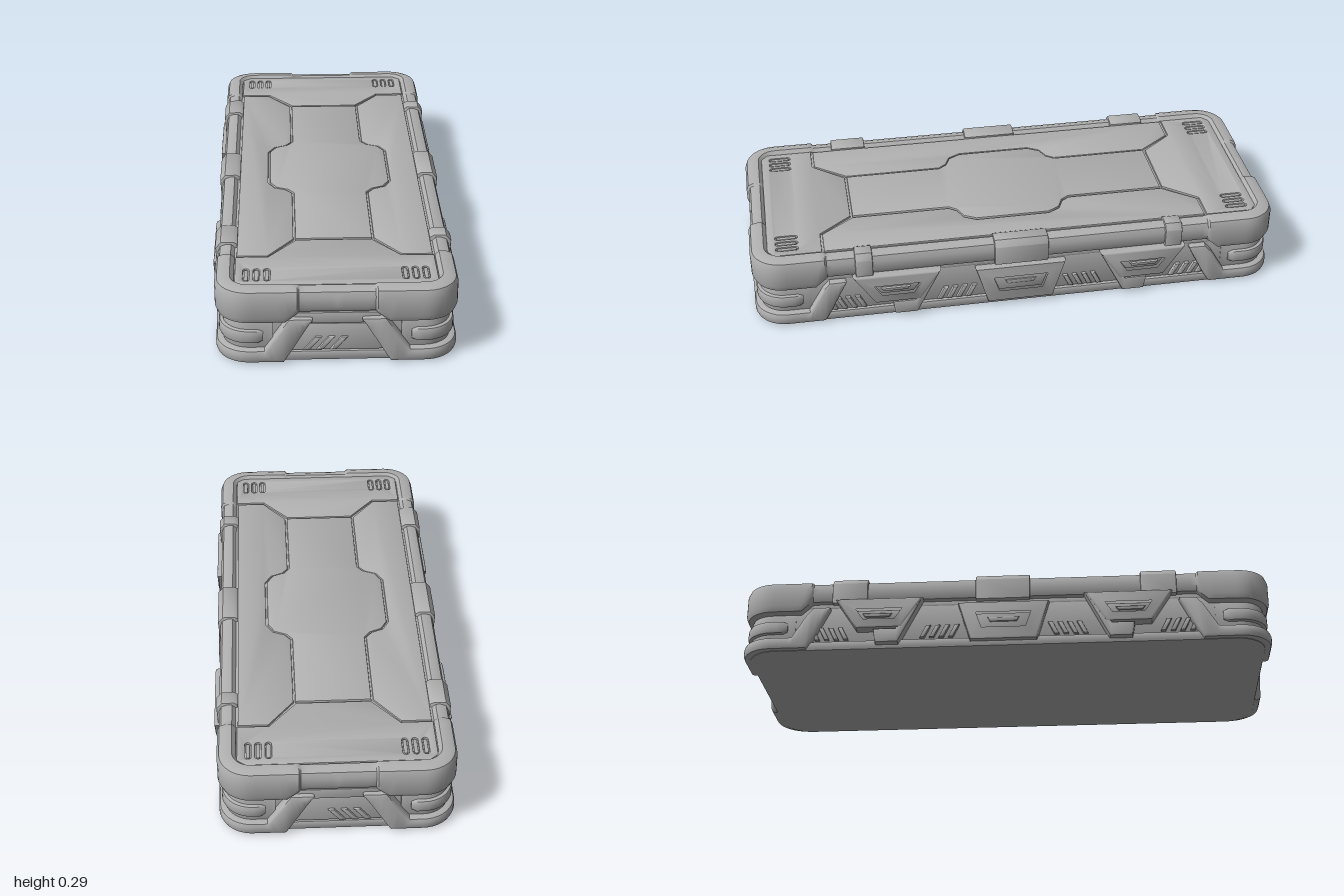
import * as THREE from 'three';
import { toCreasedNormals } from 'three/addons/utils/BufferGeometryUtils.js';

const HX = 0.42, HZ = 1.0, R = 0.12;
const ARC = R * Math.PI / 2, S1 = HX - R, S2 = S1 + ARC, END = S2 + HZ - R;
const lerp = THREE.MathUtils.lerp;

// Point and outward normal at distance s along the outline, from front centre to the +x side centre
function outline(s) {
  if (s < S1) return [s, HZ, 0, 1];
  if (s > S2) return [HX, HZ - R - (s - S2), 1, 0];
  const a = (s - S1) / R, nx = Math.sin(a), nz = Math.cos(a);
  return [S1 + R * nx, HZ - R + R * nz, nx, nz];
}

// Rounded band wrapped around one corner; knots are [s, bottom, top, outward offset]
function band(knots, depth, bevel) {
  const stations = [];
  for (let i = 0; i < knots.length - 1; i++) {
    const a = knots[i], b = knots[i + 1], n = Math.max(1, Math.ceil((b[0] - a[0]) / 0.022));
    for (let j = i ? 1 : 0; j <= n; j++) stations.push(a.map((v, k) => lerp(v, b[k], j / n)));
  }
  const pos = [], idx = [], N = 10;
  for (const [s, lo, hi, o] of stations) {
    const [x, z, nx, nz] = outline(s), b = Math.min(bevel, (hi - lo) / 2.01), c = b * 0.29;
    const ring = [[-depth, lo], [o - b, lo], [o - c, lo + c], [o, lo + b], [o, hi - b],
      [o - c, hi - c], [o - b, hi], [-depth + b * 0.5, hi], [-depth, hi - b * 0.5], [-depth, (lo + hi) / 2]];
    for (const [d, y] of ring) pos.push(x + nx * d, y, z + nz * d);
  }
  const last = (stations.length - 1) * N;
  for (let i = 0; i < last; i += N) for (let k = 0; k < N; k++) {
    const a = i + k, d = i + (k + 1) % N;
    idx.push(a, a + N, d + N, a, d + N, d);
  }
  for (let k = 1; k < N - 1; k++) idx.push(0, k, k + 1, last, last + k + 1, last + k);
  const g = new THREE.BufferGeometry();
  g.setAttribute('position', new THREE.Float32BufferAttribute(pos, 3));
  g.setIndex(idx);
  return g;
}

// Bevelled plate from an outline, with optional holes
function plate(pts, depth, bevel = 0.006, holes = []) {
  const V = list => list.map(([x, y]) => new THREE.Vector2(x, y));
  const shape = new THREE.Shape(V(pts));
  for (const h of holes) shape.holes.push(new THREE.Path(V(h)));
  const g = new THREE.ExtrudeGeometry(shape, { depth: depth - bevel, bevelEnabled: bevel > 0,
    bevelThickness: bevel, bevelSize: bevel, bevelOffset: -bevel, bevelSegments: 2 });
  return g;
}
// Plate on the +x side, outline in (z, y), ending at x1
const side = (pts, x0, x1, bevel, holes = []) => {
  const flip = l => l.map(([z, y]) => [-z, y]);
  return plate(flip(pts), x1 - x0, bevel, holes.map(flip)).rotateY(Math.PI / 2).translate(x0, 0, 0);
};
// Plate on the front, outline in (x, y)
const front = (pts, z0, z1, bevel, holes) => plate(pts, z1 - z0, bevel, holes).translate(0, 0, z0);
// Flat plate, outline in (x, -z)
const flat = (pts, y0, y1, bevel, holes) => plate(pts, y1 - y0, bevel, holes).rotateX(-Math.PI / 2).translate(0, y0, 0);

// Rounded rectangle points
function roundRect(hx, hy, r, cx = 0, cy = 0, n = 8) {
  const pts = [];
  [[1, 1], [-1, 1], [-1, -1], [1, -1]].forEach(([sx, sy], q) => {
    for (let i = 0; i <= n; i++) {
      const a = (q + i / n) * Math.PI / 2;
      pts.push([cx + sx * (hx - r) + r * Math.cos(a), cy + sy * (hy - r) + r * Math.sin(a)]);
    }
  });
  return pts;
}

// Mirrored copy that keeps faces pointing outwards
function mirrored(geo, sx, sz) {
  const g = geo.index ? geo.toNonIndexed() : geo.clone();
  g.scale(sx, 1, sz);
  if (sx * sz < 0) {
    const p = g.attributes.position;
    for (let i = 0; i < p.count; i += 3) {
      const b = new THREE.Vector3().fromBufferAttribute(p, i + 1), c = new THREE.Vector3().fromBufferAttribute(p, i + 2);
      p.setXYZ(i + 1, c.x, c.y, c.z);
      p.setXYZ(i + 2, b.x, b.y, b.z);
    }
  }
  g.deleteAttribute('normal');
  g.deleteAttribute('uv');
  return toCreasedNormals(g, 0.75);
}

export function createModel() {
  const model = new THREE.Group();
  model.name = 'hardCase';
  const grey = new THREE.MeshStandardMaterial({ color: 0xb0b0b0 });
  grey.name = 'grey';
  const ONE = [[1, 1]], ENDS = [[1, 1], [1, -1]], SIDES = [[1, 1], [-1, 1]], ALL = [...ENDS, [-1, 1], [-1, -1]];
  const add = (name, geo, copies = ONE) => copies.forEach(([sx, sz]) => {
    const mesh = new THREE.Mesh(mirrored(geo, sx, sz), grey);
    mesh.name = name;
    model.add(mesh);
  });

  // Inner shell, bottom ledge and lid floor
  add('shell', flat(roundRect(0.392, 0.962, 0.1), 0.01, 0.2, 0.004));
  add('bottomLedge', flat(roundRect(0.405, 0.975, 0.11), 0.004, 0.034, 0.008));
  add('lidFloor', flat(roundRect(0.375, 0.95, 0.08), 0.19, 0.267, 0.002));

  // Lid rim, deeper and prouder at the corners
  add('lidRim', band([[0, 0.19, 0.28, -0.008], [0.13, 0.19, 0.28, -0.008], [0.137, 0.186, 0.285, 0],
    [0.18, 0.152, 0.285, 0], [0.6, 0.152, 0.285, 0], [0.638, 0.186, 0.285, 0],
    [0.645, 0.19, 0.28, -0.006], [END, 0.19, 0.28, -0.006]], 0.067, 0.028), ALL);
  add('lidSeam', band([[0, 0.172, 0.195, -0.026], [END, 0.172, 0.195, -0.026]], 0.06, 0.008), ALL);

  // Lower corner guards with their slanted struts
  add('cornerGuard', band([[0.085, 0.165, 0.17, -0.006], [0.095, 0.15, 0.174, -0.003], [0.165, 0.03, 0.174, -0.002],
    [0.185, 0.0, 0.146, 0], [0.25, 0.0, 0.052, 0], [0.57, 0.0, 0.052, 0],
    [0.625, 0.0, 0.146, 0], [0.65, 0.04, 0.174, -0.002], [0.705, 0.15, 0.174, -0.003],
    [0.712, 0.165, 0.17, -0.006]], 0.06, 0.016), ALL);
  // Bumpers in the corner recesses
  add('cornerBumper', band([[0.255, 0.078, 0.118, -0.02], [0.275, 0.072, 0.124, -0.012],
    [0.53, 0.072, 0.124, -0.012], [0.55, 0.078, 0.118, -0.02]], 0.05, 0.012), ALL);
  add('bumperBacking', band([[0.22, 0.04, 0.155, -0.026], [0.58, 0.04, 0.155, -0.026]], 0.055, 0.01), ALL);

  // Top panels separated by narrow grooves
  const slots = [];
  for (const sx of [-1, 1]) for (const i of [-1, 0, 1])
    slots.push(roundRect(0.011, 0.042, 0.011, sx * 0.275 + i * 0.036, 0.862, 4));
  const endPanel = [[-0.35, 0.735], [-0.235, 0.735], [-0.135, 0.613], [0.135, 0.613], [0.235, 0.735],
    [0.35, 0.735], [0.35, 0.91], [0.32, 0.935], [-0.32, 0.935], [-0.35, 0.91]];
  add('endPanel', flat(endPanel, 0.26, 0.275, 0.003, slots), ENDS);
  for (const s of slots) {
    const c = s.reduce((a, p) => [a[0] + p[0] / s.length, a[1] + p[1] / s.length], [0, 0]);
    add('slotInsert', flat(roundRect(0.007, 0.036, 0.007, c[0], c[1], 4), 0.262, 0.273, 0.001), ENDS);
  }
  const half = [[0.138, 0.605], [0.138, 0.235], [0.16, 0.205], [0.205, 0.185], [0.23, 0.14]];
  const edge = [...half, ...half.map(([x, z]) => [x, -z]).reverse()];
  add('centrePanel', flat([...edge, ...edge.map(([x, z]) => [-x, z]).reverse()], 0.26, 0.276, 0.004));
  add('sidePanel', flat([...edge.map(([x, z]) => [x + 0.007, z]), [0.237, -0.727], [0.346, -0.727],
    [0.346, 0.727], [0.237, 0.727]], 0.26, 0.274, 0.003), SIDES);

  // Clips over the rim
  const clip = (z, w) => plate([[0.345, 0.19], [0.42, 0.186], [0.424, 0.265], [0.405, 0.288], [0.36, 0.289], [0.345, 0.28]], w, 0.005)
    .translate(0, 0, z - w / 2);
  add('centreClip', clip(0, 0.2), SIDES);
  add('hingeClip', clip(0.585, 0.13), [[-1, 1], [-1, -1]]);
  add('sideClip', clip(0.59, 0.06), ENDS);

  // Centre latches
  const trap = (c, top, bottom, y0, y1) => [[c - bottom, y0], [c + bottom, y0], [c + top, y1], [c - top, y1]];
  add('centreLatch', side(trap(0, 0.172, 0.125, 0.016, 0.172), 0.38, 0.424, 0.01, [trap(0, 0.115, 0.09, 0.055, 0.135)]), SIDES);
  add('centreLatchInset', side(trap(0, 0.105, 0.083, 0.063, 0.127), 0.38, 0.414, 0.006), SIDES);
  add('centreLatchBar', side(trap(0, 0.06, 0.05, 0.09, 0.108), 0.38, 0.42, 0.004), SIDES);

  // Outer latches, each with a slanted leg
  add('outerLatch', side(trap(0.468, 0.165, 0.085, 0.072, 0.195), 0.38, 0.434, 0.01,
    [trap(0.468, 0.1, 0.065, 0.098, 0.157)]), ALL);
  add('outerLatchInset', side(trap(0.468, 0.093, 0.06, 0.104, 0.151), 0.38, 0.418, 0.005), ALL);
  add('outerLatchBar', side(trap(0.475, 0.055, 0.045, 0.12, 0.134), 0.38, 0.427, 0.003), ALL);
  add('latchLeg', side([[0.303, 0.195], [0.345, 0.195], [0.405, 0.07], [0.49, 0.07], [0.48, 0.012], [0.395, 0.012]],
    0.38, 0.431, 0.009), ALL);

  // Slanted vent ribs on the sides
  for (const z0 of [0.19, 0.585]) for (let i = 0; i < 4; i++) {
    const z = z0 + i * 0.036, k = z0 < 0.3 ? 0.024 : -0.024;
    add('ventRib', side([[z, 0.04], [z + 0.018, 0.04], [z + 0.018 - k, 0.09], [z - k, 0.09]], 0.385, 0.405, 0.004), ALL);
  }

  // Recessed end panels with slanted ribs
  add('endRecessPanel', front([[-0.19, 0.036], [0.19, 0.036], [0.12, 0.142], [-0.12, 0.142]], 0.95, 0.972, 0.005), ENDS);
  add('endLedge', front([[-0.15, 0.145], [0.15, 0.145], [0.15, 0.19], [-0.15, 0.19]], 0.95, 0.98, 0.008), ENDS);
  for (let i = 0; i < 3; i++) {
    const x = -0.115 + i * 0.045;
    add('endRib', front([[x, 0.042], [x + 0.022, 0.042], [x + 0.062, 0.092], [x + 0.04, 0.092]], 0.96, 0.981, 0.004), ENDS);
  }
  return model;
}
